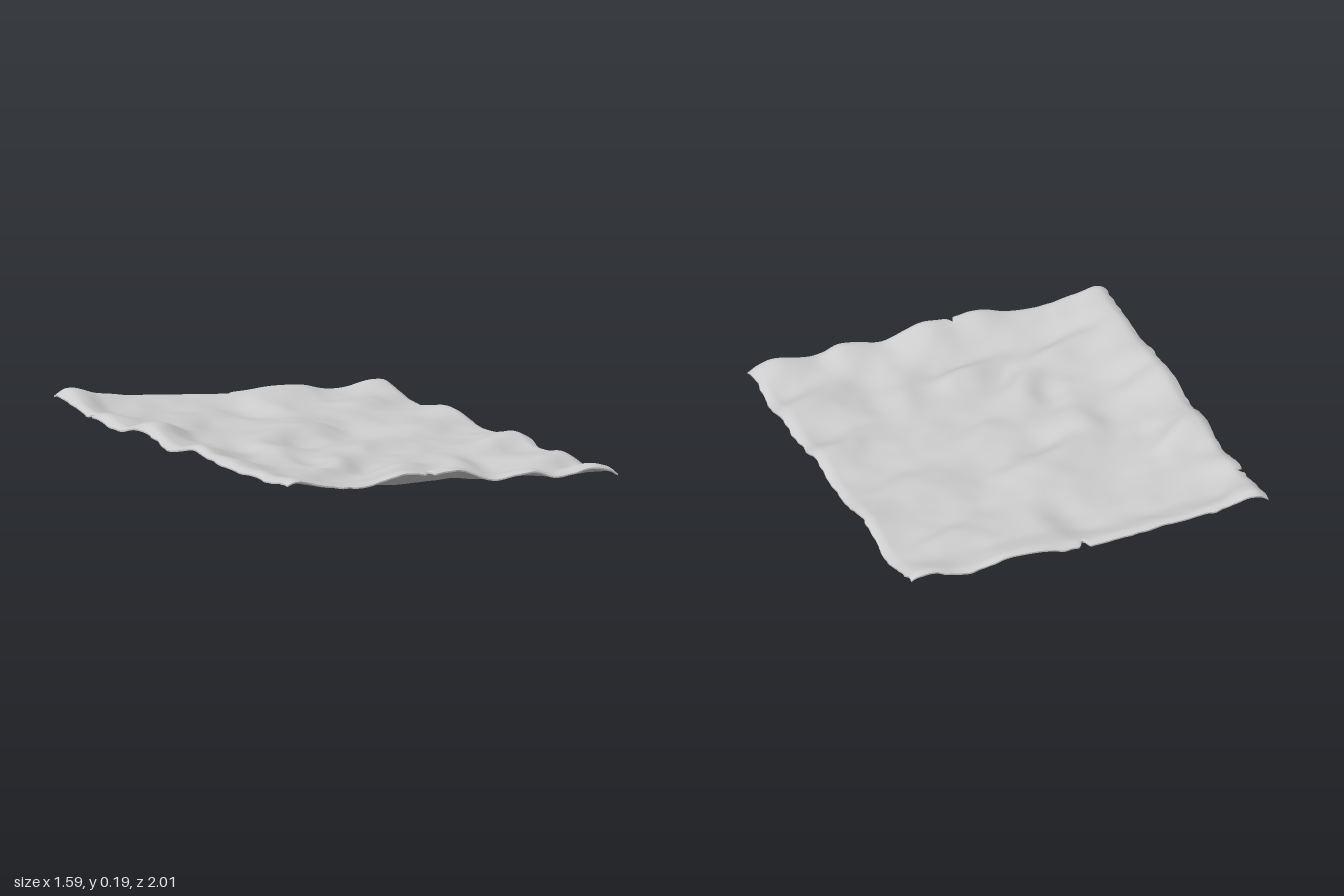
import * as THREE from 'three';

const HALF_X = 0.797, HALF_Z = 1.005, THICK = 0.018;

// seeded lattice value noise, -1..1
function hash(i, j) {
  const s = Math.sin(i * 127.1 + j * 311.7 + 17.3) * 43758.5453;
  return (s - Math.floor(s)) * 2 - 1;
}
function noise(x, z) {
  const i = Math.floor(x), j = Math.floor(z);
  const ease = t => t * t * (3 - 2 * t);
  const u = ease(x - i), v = ease(z - j), mix = THREE.MathUtils.lerp;
  return mix(mix(hash(i, j), hash(i + 1, j), u), mix(hash(i, j + 1), hash(i + 1, j + 1), u), v);
}
const bell = (d, w) => Math.exp(-(d * d) / (w * w));
const rise = THREE.MathUtils.smoothstep;

// smooth cubic curve through [position, value] pairs
function curve(points, x) {
  const n = points.length - 1;
  const slope = i => {
    const a = points[Math.max(i - 1, 0)], b = points[Math.min(i + 1, n)];
    return (b[1] - a[1]) / (b[0] - a[0]);
  };
  let i = 0;
  while (i < n - 1 && x > points[i + 1][0]) i++;
  const [x0, y0] = points[i], [x1, y1] = points[i + 1], w = x1 - x0;
  const t = THREE.MathUtils.clamp((x - x0) / w, 0, 1), s = 1 - t;
  return s * s * ((1 + 2 * t) * y0 + t * w * slope(i)) + t * t * ((3 - 2 * t) * y1 - s * w * slope(i + 1));
}

// general sag of the sheet from left to right
const SAG = [[-0.8, 0.148], [-0.73, 0.145], [-0.6, 0.118], [-0.4, 0.09], [-0.2, 0.08], [0, 0.075], [0.2, 0.06], [0.4, 0.052], [0.6, 0.048], [0.8, 0.045]];
// how far each border is turned up, along its length
const FRONT_RIM = [[-0.8, 0.005], [-0.6, 0.02], [-0.4, 0.045], [-0.23, 0.085], [-0.1, 0.06], [0.05, 0.08], [0.2, 0.035], [0.38, 0.055], [0.5, 0.02], [0.68, 0.05], [0.8, 0.015]];
const BACK_RIM = [[-0.8, 0.03], [-0.72, 0.045], [-0.6, 0.045], [-0.4, 0.05], [-0.2, 0.045], [0, 0.03], [0.35, 0.05], [0.55, 0.025], [0.7, 0.04], [0.8, 0.025]];
const LEFT_RIM = [[-1, 0.0], [-0.8, 0.0], [-0.7, -0.005], [-0.6, 0.01], [-0.45, -0.005], [-0.3, 0.025], [-0.15, 0.015], [0, -0.01], [0.2, 0.015], [0.35, 0.025], [0.55, 0.01], [0.75, 0.015], [0.9, 0.01], [1, 0.02]];
const RIGHT_RIM = [[-1, 0.0], [-0.75, -0.005], [-0.6, 0], [-0.4, 0.025], [-0.2, -0.005], [0, 0], [0.18, 0.025], [0.4, 0], [0.6, 0.01], [0.8, -0.005], [1, 0]];

// crumples: x, z, fall direction (degrees from +x towards +z), half length, width, height
const CRUMPLES = [
  [-0.14, -0.13, 60, 0.17, 0.11, 0.060], [-0.40, 0.02, 10, 0.14, 0.10, -0.030],
  [-0.60, -0.24, 50, 0.16, 0.11, 0.045], [0.10, -0.22, 30, 0.16, 0.12, 0.030],
  [0.55, -0.64, 65, 0.22, 0.10, 0.040], [0.05, -0.72, 180, 0.20, 0.10, 0.030],
  [-0.25, 0.33, 200, 0.16, 0.08, 0.030], [-0.20, 0.50, 45, 0.18, 0.09, 0.050],
  [-0.02, 0.66, 75, 0.20, 0.08, 0.045], [0.32, 0.55, 15, 0.18, 0.10, 0.040],
  [-0.48, 0.69, 75, 0.18, 0.08, 0.040], [-0.66, 0.25, 70, 0.15, 0.10, 0.035],
  [0.65, 0.28, 55, 0.16, 0.09, 0.035], [0.66, 0.70, 55, 0.16, 0.09, 0.040],
  [0.55, -0.12, 60, 0.18, 0.11, 0.030], [-0.28, -0.60, 50, 0.18, 0.12, 0.030],
  [0.10, 0.15, 60, 0.18, 0.11, 0.025], [-0.66, -0.85, 55, 0.14, 0.10, 0.030],
];

function height(x, z) {
  let y = curve(SAG, x);
  y += curve(FRONT_RIM, x) * rise(z, 0.74, 1.02);
  y += curve(BACK_RIM, x) * rise(-z, 0.78, 1.0);
  y += curve(LEFT_RIM, z) * rise(-x, 0.5, 0.74);
  y += curve(RIGHT_RIM, z) * rise(x, 0.55, 0.8);
  for (const [cx, cz, deg, len, w, h] of CRUMPLES) {
    const a = deg * Math.PI / 180, dx = x - cx, dz = z - cz;
    const across = dx * Math.cos(a) + dz * Math.sin(a);
    const along = dz * Math.cos(a) - dx * Math.sin(a);
    y -= h * (across / w) * bell(across, w) * bell(along, len);
  }
  // broad diagonal waves and slight wrinkles
  y += 0.011 * noise((x + z) * 4.5 + 3, (x - z) * 2.8);
  y += 0.003 * noise((x + z) * 10, (x - z) * 8 + 9);
  // the very edge rolls over
  y -= 0.012 * (rise(Math.abs(x), 0.745, 0.8) + rise(Math.abs(z), 0.96, 1.01));
  return y;
}

// ragged outline: how far each side is pulled in
function ragged(t, seed) {
  return 0.007 * (1 + noise(t * 9, seed)) + 0.004 * (1 + noise(t * 27, seed + 5));
}
const insetFront = x => ragged(x, 1) + 0.045 * bell(x + 0.1, 0.01);
const insetBack = x => ragged(x, 11) + 0.04 * bell(x - 0.02, 0.014);
const insetLeft = z => ragged(z, 21) + 0.03 * bell(z + 0.68, 0.01);
const insetRight = z => ragged(z, 31);

export function createModel() {
  const group = new THREE.Group();
  group.name = 'crumpledSheet';
  const paper = new THREE.MeshStandardMaterial({ color: 0xcccccc });
  paper.name = 'pale grey paper';

  // thin slab whose vertices are moved onto the crumpled surface, thinning at the border
  const geometry = new THREE.BoxGeometry(2, 2, 2, 140, 1, 176);
  const pos = geometry.attributes.position;
  for (let i = 0; i < pos.count; i++) {
    const u = pos.getX(i), side = pos.getY(i), v = pos.getZ(i);
    const x0 = u * HALF_X, z0 = v * HALF_Z;
    const x = x0 - Math.sign(u) * Math.abs(u) ** 16 * (u > 0 ? insetRight(z0) : insetLeft(z0));
    const z = z0 - Math.sign(v) * Math.abs(v) ** 16 * (v > 0 ? insetFront(x0) : insetBack(x0));
    const thick = THICK * (1 - 0.65 * Math.max(Math.abs(u), Math.abs(v)) ** 50);
    pos.setXYZ(i, x, height(x, z) + side * thick / 2, z);
  }

  // centre it and rest it on the ground
  geometry.computeBoundingBox();
  const { min, max } = geometry.boundingBox;
  geometry.translate(-(min.x + max.x) / 2, -min.y, -(min.z + max.z) / 2);
  geometry.computeVertexNormals();
  geometry.clearGroups();

  const sheet = new THREE.Mesh(geometry, paper);
  sheet.name = 'paperSheet';
  group.add(sheet);
  return group;
}
